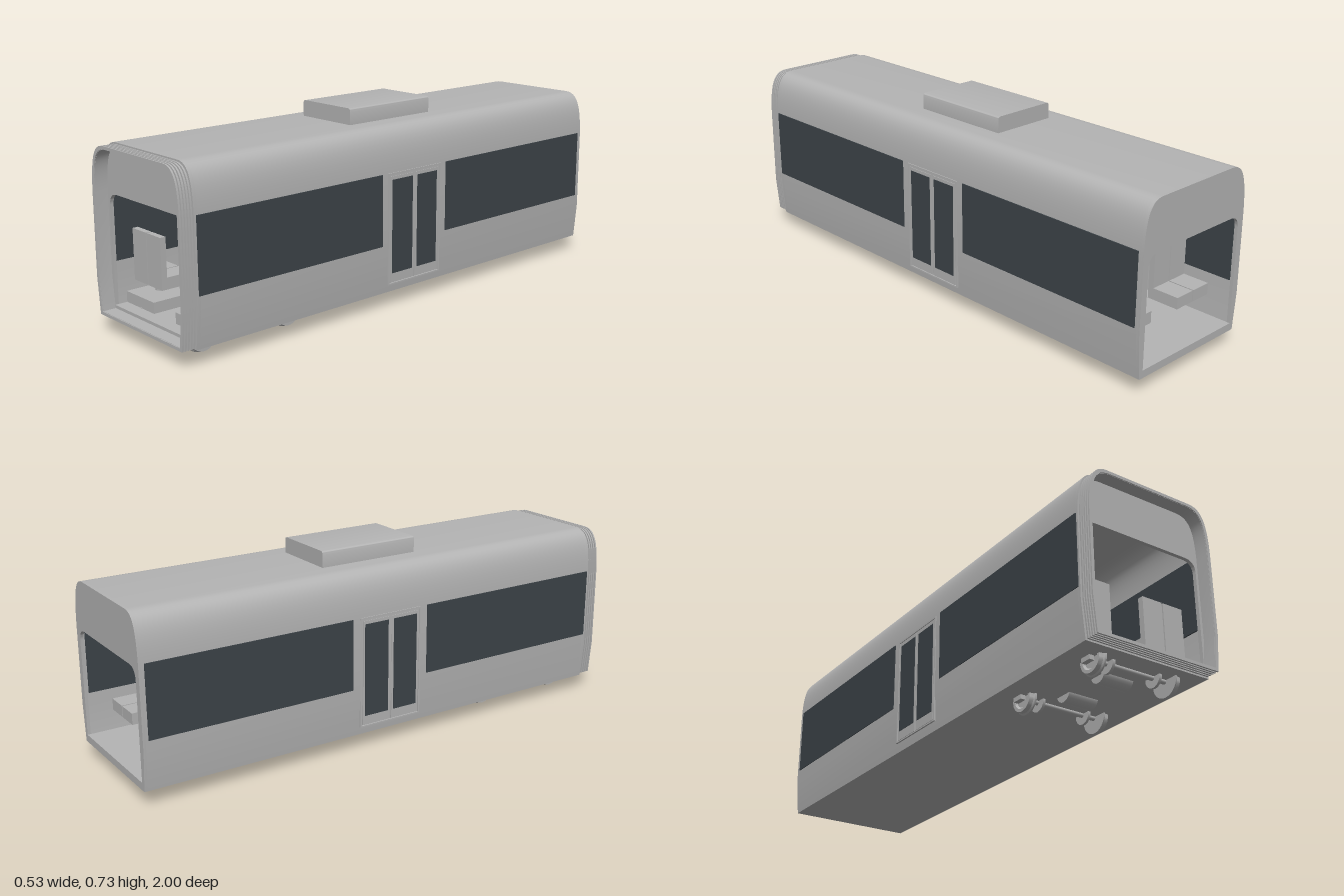
import * as THREE from 'three';
import { toCreasedNormals } from 'three/addons/utils/BufferGeometryUtils.js';

const grey = new THREE.MeshStandardMaterial({ color: 0xb4b4b4 });
grey.name = 'grey paint';
const glass = new THREE.MeshStandardMaterial({ color: 0x3d4449 });
glass.name = 'dark glass';

function add(parent, name, geometry, material = grey, x = 0, y = 0, z = 0) {
  const mesh = new THREE.Mesh(geometry, material);
  mesh.name = name;
  mesh.position.set(x, y, z);
  parent.add(mesh);
  return mesh;
}

// Box given by its limits on each axis
function box(parent, name, [x0, x1], [y0, y1], [z0, z1], material = grey) {
  const g = new THREE.BoxGeometry(Math.abs(x1 - x0), y1 - y0, z1 - z0);
  return add(parent, name, g, material, (x0 + x1) / 2, (y0 + y1) / 2, (z0 + z1) / 2);
}

// Cross-section of the car, shrunk by an inset
function section(i, Type = THREE.Shape) {
  const s = new Type(), top = 0.675 - i;
  s.moveTo(-0.25 + i, 0.062 + i);
  s.lineTo(0.25 - i, 0.062 + i);
  s.lineTo(0.262 - i, 0.2);
  s.lineTo(0.261 - i, 0.5);
  s.bezierCurveTo(0.258 - i, 0.62, 0.24 - i, top, 0.18 - i, top);
  s.lineTo(-0.18 + i, top);
  s.bezierCurveTo(-0.24 + i, top, -0.258 + i, 0.62, -0.261 + i, 0.5);
  s.lineTo(-0.262 + i, 0.2);
  s.closePath();
  return s;
}

// Gangway opening with rounded upper corners
function opening() {
  const p = new THREE.Path();
  p.moveTo(-0.235, 0.09);
  p.lineTo(0.235, 0.09);
  p.lineTo(0.235, 0.45);
  p.quadraticCurveTo(0.232, 0.492, 0.19, 0.492);
  p.lineTo(-0.19, 0.492);
  p.quadraticCurveTo(-0.232, 0.492, -0.235, 0.45);
  p.closePath();
  return p;
}

function extrude(shape, hole, depth) {
  if (hole) shape.holes.push(hole);
  const g = new THREE.ExtrudeGeometry(shape, { depth, bevelEnabled: false, curveSegments: 12 });
  return toCreasedNormals(g, 0.5);
}

// Cylinder lying along x
function crossCylinder(parent, name, r, length, x, y, z) {
  add(parent, name, new THREE.CylinderGeometry(r, r, length, 24), grey, x, y, z).rotation.z = Math.PI / 2;
}

function makeSide(s) {
  const side = new THREE.Group();
  side.name = s > 0 ? 'leftSide' : 'rightSide';
  // Long windows, outer and inner faces
  for (const z of [[0.14, 0.94], [-0.98, -0.185]]) {
    box(side, 'window', [s * 0.26, s * 0.2642], [0.245, 0.51], z, glass);
    box(side, 'windowInside', [s * 0.241, s * 0.246], [0.245, 0.51], z, glass);
  }
  // Double door with frame
  const skin = [s * 0.258, s * 0.264];
  box(side, 'doorTopFrame', skin, [0.503, 0.51], [-0.155, 0.11]);
  box(side, 'doorSill', skin, [0.093, 0.098], [-0.155, 0.11]);
  for (const z of [-0.155, 0.104]) box(side, 'doorPost', skin, [0.098, 0.503], [z, z + 0.006]);
  for (const [a, b] of [[-0.018, 0.1], [-0.143, -0.026]]) {
    box(side, 'doorLeaf', [s * 0.257, s * 0.263], [0.1, 0.497], [a, b]);
    box(side, 'doorPane', [s * 0.26, s * 0.2645], [0.135, 0.485], [a + 0.008, b - 0.008], glass);
    box(side, 'doorInside', [s * 0.232, s * 0.238], [0.085, 0.485], [a, b]);
    box(side, 'doorPaneInside', [s * 0.231, s * 0.234], [0.135, 0.475], [a + 0.008, b - 0.008], glass);
  }
  // Handrails by the door
  for (const z of [-0.19, 0.15]) {
    add(side, 'handrail', new THREE.CylinderGeometry(0.003, 0.003, 0.57, 10), grey, s * 0.195, 0.375, z);
  }
  // Plinth over the wheels
  box(side, 'wheelCover', [s * 0.065, s * 0.235], [0.088, 0.13], [0.44, 0.9]);
  return side;
}

// Pair of seats; facing is the z direction of the sitter
function makeSeats(s, z, facing, onPlinth) {
  const pair = new THREE.Group();
  pair.name = 'seatPair';
  for (const x of [0.07, 0.158]) {
    const xs = [s * x, s * (x + 0.083)];
    box(pair, 'seatBack', xs, [0.18, 0.35], [-0.011, 0.011]);
    box(pair, 'seatCushion', xs, [0.162, 0.205], [-0.011, 0.115]);
  }
  if (onPlinth) {
    add(pair, 'seatPedestal', new THREE.CylinderGeometry(0.02, 0.02, 0.04, 20), grey, s * 0.17, 0.146, 0.05);
  }
  pair.position.z = z;
  if (facing < 0) {
    pair.rotation.y = Math.PI;
  }
  return pair;
}

function makeBogie() {
  const bogie = new THREE.Group();
  bogie.name = 'bogie';
  const profile = [[0, 0], [0.055, 0], [0.054, 0.005], [0.049, 0.009], [0.047, 0.024], [0.036, 0.024], [0.03, 0.018], [0, 0.018]]
    .map(([r, h]) => new THREE.Vector2(r, h));
  const wheel = toCreasedNormals(new THREE.LatheGeometry(profile, 32), 0.5);
  for (const z of [0.5, 0.86]) {
    crossCylinder(bogie, 'axle', 0.009, 0.34, 0, 0.058, z);
    for (const s of [-1, 1]) {
      add(bogie, 'wheel', wheel, grey, s * 0.141, 0.058, z).rotation.z = -s * Math.PI / 2;
      crossCylinder(bogie, 'brakeDisc', 0.034, 0.01, s * 0.095, 0.058, z);
      box(bogie, 'axleBox', [s * 0.163, s * 0.182], [0.046, 0.07], [z - 0.02, z + 0.02]);
    }
  }
  for (const z of [0.59, 0.77]) crossCylinder(bogie, 'motor', 0.034, 0.12, 0, 0.071, z);
  return bogie;
}

export function createModel() {
  const tram = new THREE.Group();
  tram.name = 'tramSection';

  // Hollow shell, floor and end walls
  add(tram, 'bodyShell', extrude(section(0), section(0.016, THREE.Path), 1.925), grey, 0, 0, -0.99);
  box(tram, 'floor', [-0.238, 0.238], [0.074, 0.09], [-0.988, 0.935]);
  add(tram, 'rearEndWall', extrude(section(0), opening(), 0.012), grey, 0, 0, -1);
  add(tram, 'frontEndWall', extrude(section(0), opening(), 0.014), grey, 0, 0, 0.934);

  // Folded gangway bellows
  const fold = extrude(section(0.005), section(0.016, THREE.Path), 0.006);
  const valley = extrude(section(0.011), section(0.017, THREE.Path), 0.05);
  add(tram, 'bellowsLining', valley, grey, 0, 0, 0.947);
  for (let i = 0; i < 5; i++) add(tram, 'bellowsFold', fold, grey, 0, 0, 0.95 + i * 0.011);

  // Roof unit with rounded long edges
  const w = 0.128, r = 0.012, lo = 0.672, hi = 0.735;
  const unit = new THREE.Shape();
  unit.moveTo(-w, lo);
  unit.lineTo(w, lo);
  unit.lineTo(w, hi - r);
  unit.quadraticCurveTo(w, hi, w - r, hi);
  unit.lineTo(-w + r, hi);
  unit.quadraticCurveTo(-w, hi, -w, hi - r);
  unit.closePath();
  add(tram, 'roofUnit', extrude(unit, null, 0.4), grey, 0, 0, -0.226);

  // Sides and seat rows
  for (const s of [-1, 1]) {
    tram.add(makeSide(s));
    tram.add(makeSeats(s, 0.85, -1, true), makeSeats(s, 0.5, 1, true));
    tram.add(makeSeats(s, 0.25, 1, false), makeSeats(s, -0.4, 1, false), makeSeats(s, -0.78, -1, false));
  }

  // Central pole and hanging display
  add(tram, 'centrePole', new THREE.CylinderGeometry(0.003, 0.003, 0.575, 10), grey, 0, 0.375, -0.02);
  box(tram, 'displayCase', [-0.062, 0.062], [0.434, 0.477], [-0.015, 0.005]);
  for (const z of [-0.0165, 0.0045]) {
    box(tram, 'displayScreen', [-0.057, 0.057], [0.438, 0.473], [z, z + 0.002], glass);
  }

  tram.add(makeBogie());
  return tram;
}
